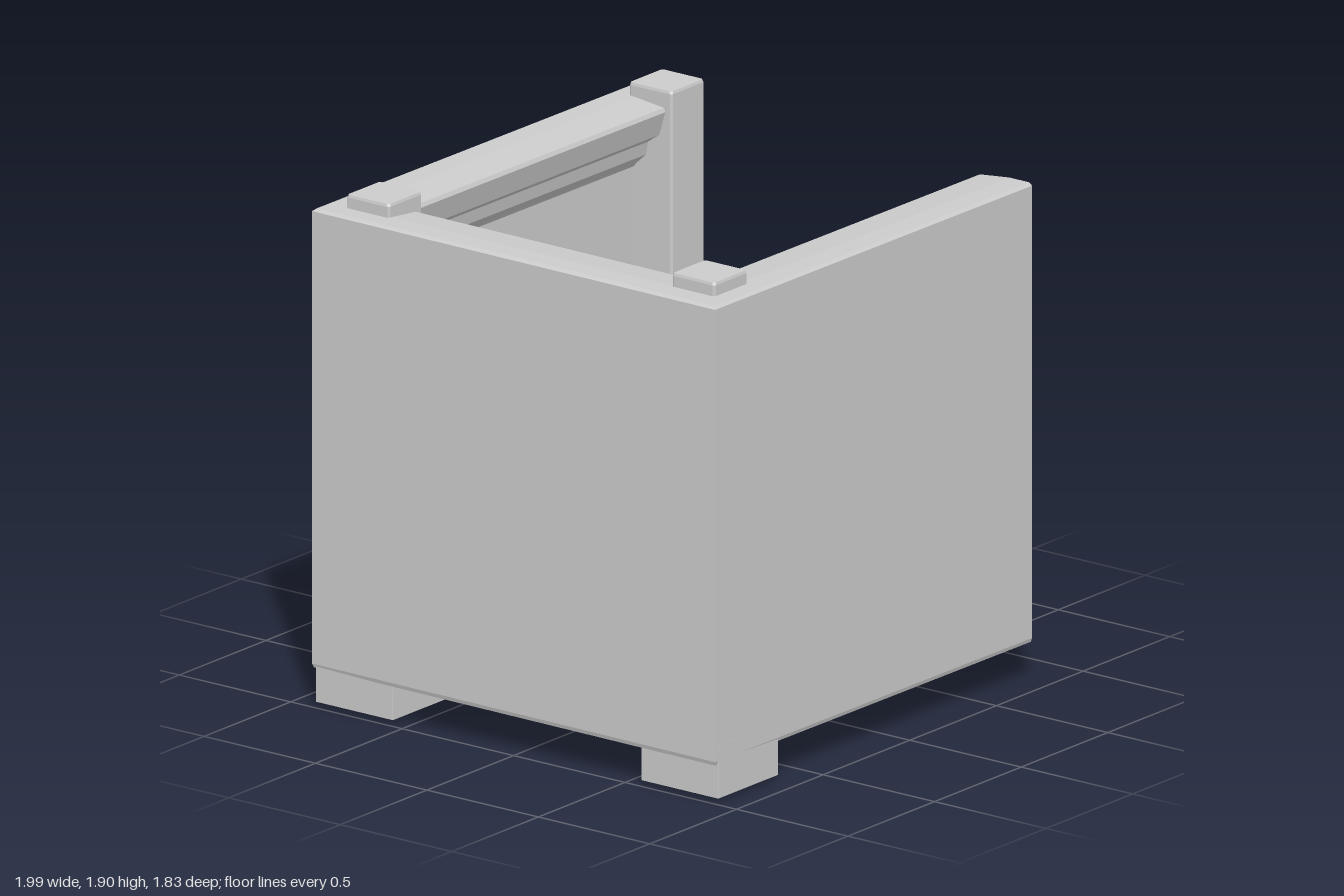
import * as THREE from 'three';

const material = new THREE.MeshStandardMaterial({ color: 0xcccccc, flatShading: true });

// Closed solid through matching rings; contour is the counter-clockwise 2D outline for the caps
function loft(rings, contour, name) {
  const pos = [];
  const tri = (a, b, c) => pos.push(...a, ...b, ...c);
  const n = contour.length;
  for (let r = 0; r < rings.length - 1; r++) {
    const A = rings[r], B = rings[r + 1];
    for (let i = 0; i < n; i++) {
      const j = (i + 1) % n;
      tri(A[i], A[j], B[j]);
      tri(A[i], B[j], B[i]);
    }
  }
  const first = rings[0], last = rings[rings.length - 1];
  const pts = contour.map(([u, v]) => new THREE.Vector2(u, v));
  for (const [a, b, c] of THREE.ShapeUtils.triangulateShape(pts, [])) {
    tri(first[a], first[c], first[b]);
    tri(last[a], last[b], last[c]);
  }
  const g = new THREE.BufferGeometry();
  g.setAttribute('position', new THREE.Float32BufferAttribute(pos, 3));
  g.computeVertexNormals();
  const mesh = new THREE.Mesh(g, material);
  mesh.name = name;
  return mesh;
}

// Square outline with cut corners
function square(h, c) {
  const k = h - c;
  return [[h, -k], [h, k], [k, h], [-k, h], [-h, k], [-h, -k], [-k, -h], [k, -h]];
}

// Post part from [height, half width, corner cut] levels
function postPart(levels, name) {
  const rings = levels.map(([y, h, c]) => square(h, c).map(([u, v]) => [u, y, -v]));
  return loft(rings, square(1, 0.1), name);
}

function createPost(x, z) {
  const post = new THREE.Group();
  post.name = 'cornerPost';
  post.add(
    postPart([
      [0, 0.13, 0.002], [0.015, 0.173, 0.002], [0.21, 0.173, 0.002], [0.24, 0.1, 0.002],
    ], 'postFoot'),
    postPart([
      [0.23, 0.1, 0.008], [0.26, 0.094, 0.008], [0.4, 0.083, 0.008], [0.42, 0.075, 0.014],
      [1.1, 0.073, 0.014], [1.125, 0.083, 0.014], [1.155, 0.086, 0.014], [1.175, 0.079, 0.014],
      [1.195, 0.08, 0.012], [1.21, 0.096, 0.008],
    ], 'postShaft'),
    postPart([[1.205, 0.096, 0.008], [1.89, 0.096, 0.008], [1.9, 0.093, 0.008]], 'postHead'),
  );
  post.position.set(x, 0, z);
  return post;
}

// Three panels swept as one U with mitred corners and a moulding inside the top
function createWalls() {
  const profile = [ // [minus the distance in from the outer face, height]
    [-0.005, 0.14], [0, 0.155], [0, 1.84], [-0.012, 1.85], [-0.1, 1.85], [-0.235, 1.835],
    [-0.242, 1.82], [-0.215, 1.73], [-0.2, 1.72], [-0.165, 1.695], [-0.155, 1.645],
    [-0.112, 1.605], [-0.1, 1.59], [-0.1, 0.14],
  ];
  const left = -0.99, end = 0.82, out = 0.91;
  const stations = [
    ([m, y]) => [end, y, out + m],
    ([m, y]) => [left - m, y, out + m],
    ([m, y]) => [left - m, y, -out - m],
    ([m, y]) => [end, y, -out - m],
  ];
  const walls = loft(stations.map((f) => profile.map(f)), profile, 'wallPanels');
  walls.rotation.y = -0.008;
  return walls;
}

export function createModel() {
  const model = new THREE.Group();
  model.name = 'enclosure';
  model.add(createWalls());
  for (const [x, z] of [[-0.807, 0.73], [-0.807, -0.73], [0.823, -0.73]]) {
    model.add(createPost(x, z));
  }
  return model;
}
